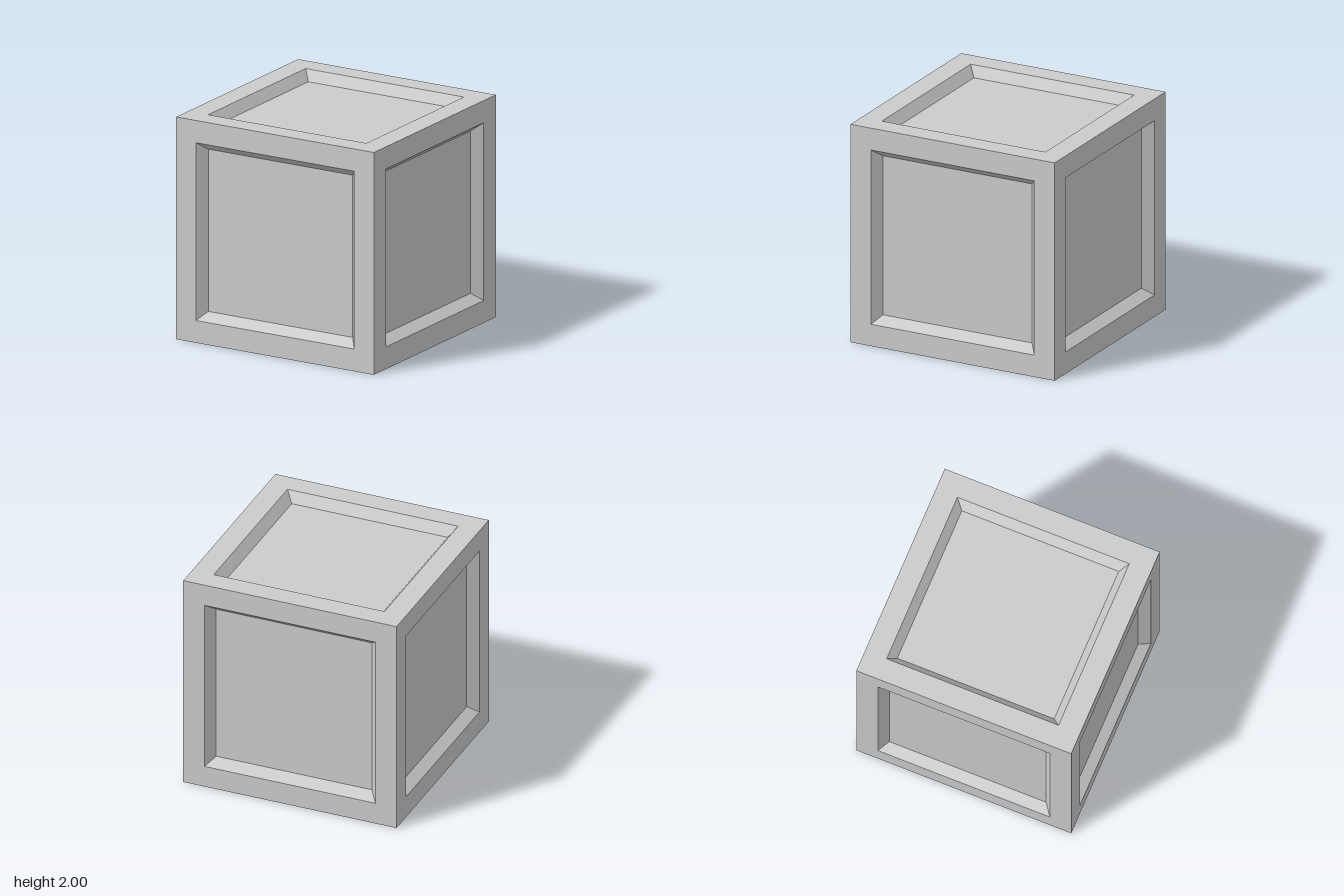
import * as THREE from 'three';

const HALF = 1;        // half the cube's side
const RIM = 0.8;       // half width of the recess opening
const PANEL = 0.73;    // half width of the recessed panel
const DEPTH = 0.09;    // recess depth

export function createModel() {
  const material = new THREE.MeshStandardMaterial({ color: 0xcccccc, flatShading: true });

  // Square frame with sloped inner walls: a four-sided lathe, facing +y
  const profile = [[HALF, HALF], [RIM, HALF], [PANEL, HALF - DEPTH]]
    .map(([r, y]) => new THREE.Vector2(r * Math.SQRT2, y));
  const frameGeometry = new THREE.LatheGeometry(profile, 4, Math.PI / 4).toNonIndexed();
  frameGeometry.computeVertexNormals();

  // Flat panel at the bottom of the recess
  const panelGeometry = new THREE.PlaneGeometry(PANEL * 2, PANEL * 2)
    .rotateX(-Math.PI / 2)
    .translate(0, HALF - DEPTH, 0);

  // The same side turned to all six directions
  const sides = {
    top: [0, 0],
    bottom: [Math.PI, 0],
    front: [Math.PI / 2, 0],
    back: [-Math.PI / 2, 0],
    left: [0, -Math.PI / 2],
    right: [0, Math.PI / 2],
  };

  const model = new THREE.Group();
  model.name = 'panelledCube';
  for (const [name, [rx, rz]] of Object.entries(sides)) {
    const side = new THREE.Group();
    side.name = `${name}Side`;
    const frame = new THREE.Mesh(frameGeometry, material);
    frame.name = `${name}Frame`;
    const panel = new THREE.Mesh(panelGeometry, material);
    panel.name = `${name}Panel`;
    side.add(frame, panel);
    side.rotation.set(rx, 0, rz);
    side.position.y = HALF;
    model.add(side);
  }
  return model;
}
